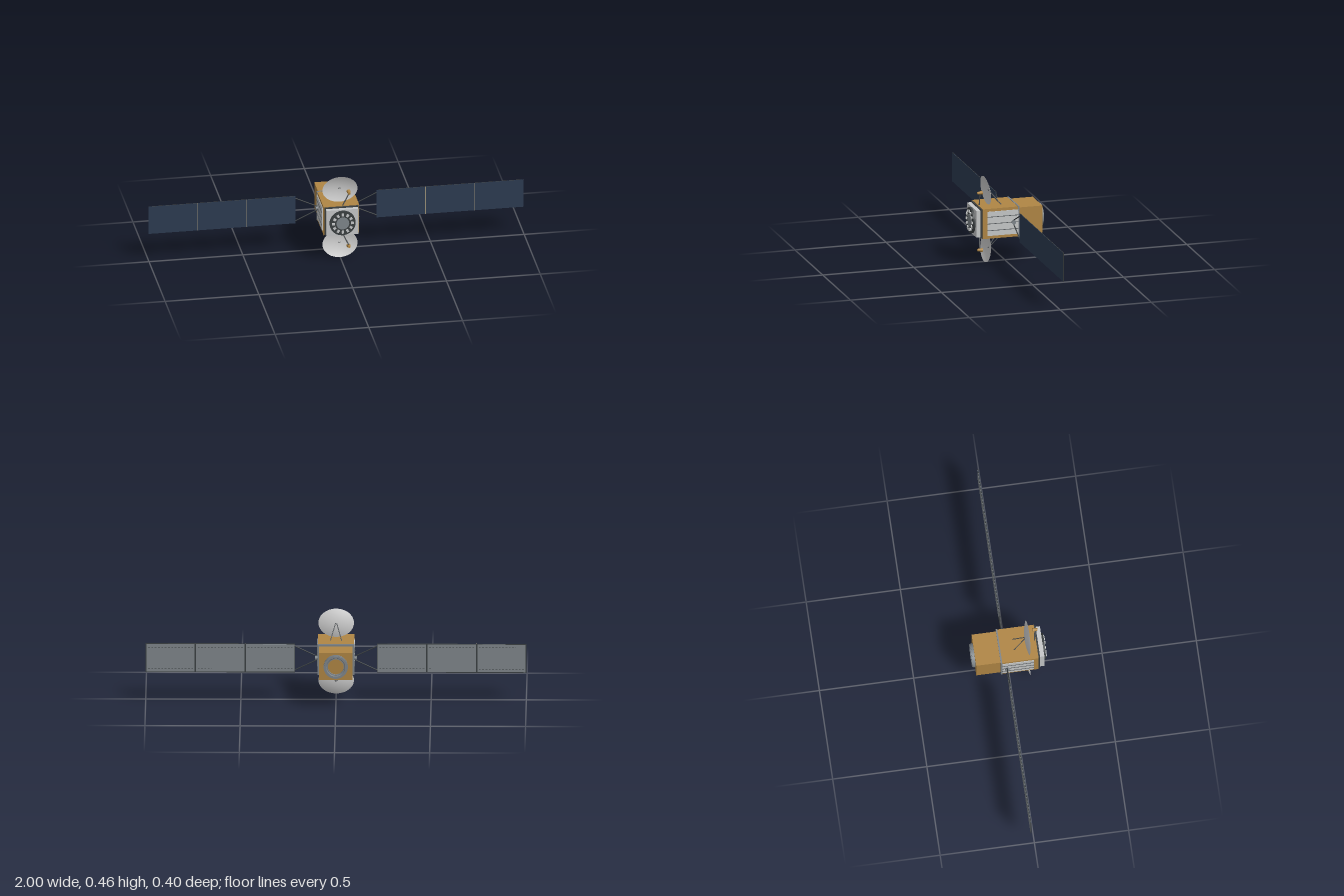
import * as THREE from 'three';

const CY = 0.236; // height of the body axis

function mat(name, color, side = THREE.FrontSide) {
  const m = new THREE.MeshStandardMaterial({ color, side });
  m.name = name;
  return m;
}

export function createModel() {
  const root = new THREE.Group();
  root.name = 'satellite';
  const gold = mat('gold foil', 0xb08644);
  const light = mat('light grey', 0xc6c8c9);
  const dishMat = mat('dish white', 0xd0d0d0, THREE.DoubleSide);
  const grey = mat('mid grey', 0x7f868b);
  const dark = mat('dark grey', 0x3b4042);
  const strutMat = mat('strut grey', 0x55595c);
  const blue = mat('solar blue', 0x2c3b52);
  const tan = mat('hinge tan', 0x9a9078);

  function add(name, geometry, material, x = 0, y = 0, z = 0, parent = root) {
    const m = new THREE.Mesh(geometry, material);
    m.name = name;
    m.position.set(x, y, z);
    parent.add(m);
    return m;
  }
  const box = (name, w, h, d, material, x, y, z, parent) =>
    add(name, new THREE.BoxGeometry(w, h, d), material, x, y, z, parent);
  // cylinder whose axis runs along z, r1 at the +z end
  const disc = (name, r1, r2, d, material, x, y, z, seg = 40) =>
    add(name, new THREE.CylinderGeometry(r1, r2, d, seg).rotateX(Math.PI / 2), material, x, y, z);
  function strut(name, a, b, r, material, parent = root) {
    const p = new THREE.Vector3(...a), q = new THREE.Vector3(...b);
    const dir = q.clone().sub(p);
    const m = add(name, new THREE.CylinderGeometry(r, r, dir.length(), 10), material, 0, 0, 0, parent);
    m.position.copy(p).add(q).multiplyScalar(0.5);
    m.quaternion.setFromUnitVectors(new THREE.Vector3(0, 1, 0), dir.normalize());
    return m;
  }

  // Body
  box('mainBody', 0.19, 0.163, 0.2, gold, 0, CY, 0.05);
  box('rearModule', 0.176, 0.147, 0.13, gold, 0, CY, -0.115);
  box('bodyFrame', 0.196, 0.167, 0.008, grey, 0, CY, -0.047);
  box('frontFrame', 0.18, 0.158, 0.01, dark, 0, CY, 0.154);
  box('frontPlate', 0.17, 0.146, 0.024, light, 0, CY, 0.17);

  // Rear adapter ring, stepped and open in the middle
  const ringProfile = [[0.042, 0], [0.064, 0], [0.064, 0.012], [0.061, 0.012], [0.061, 0.019],
    [0.05, 0.019], [0.047, 0.014], [0.042, 0.014], [0.042, 0]];
  const ringPoints = ringProfile.flatMap(([r, h]) => [new THREE.Vector2(r, h), new THREE.Vector2(r, h)]);
  add('rearRing', new THREE.LatheGeometry(ringPoints, 48).rotateX(-Math.PI / 2), grey, 0, CY, -0.178);

  // Front antenna array
  disc('antennaBase', 0.069, 0.069, 0.012, dark, 0, CY, 0.187);
  disc('antennaHub', 0.034, 0.034, 0.004, grey, 0, CY, 0.194);
  for (let i = 0; i < 12; i++) {
    const a = (i / 12) * Math.PI * 2;
    const e = box('antennaElement', 0.012, 0.015, 0.007, light,
      Math.cos(a) * 0.05, CY + Math.sin(a) * 0.05, 0.1955);
    e.rotation.z = a + Math.PI / 2;
  }

  // Side radiators with pipes
  for (const s of [-1, 1]) {
    box('radiator', 0.004, 0.132, 0.17, light, s * 0.096, CY, 0.04);
    for (const dy of [-0.037, 0, 0.037])
      box('radiatorPipe', 0.004, 0.003, 0.168, strutMat, s * 0.098, CY + dy, 0.04);
  }

  // Dishes with feeds above and below
  for (const s of [1, -1]) {
    const Y = d => CY + s * d;
    const profile = [];
    for (let i = 0; i <= 12; i++) {
      const r = i / 12;
      profile.push(new THREE.Vector2(r, 0.0155 * (r * r - 1)));
    }
    const dishGeo = new THREE.LatheGeometry(profile, 48).rotateX(Math.PI / 2).scale(0.0935, 0.0755, 1);
    const dish = add('dish', dishGeo, dishMat, 0, Y(0.157), 0.105);
    dish.rotation.x = s * 0.107;
    for (const x of [-0.03, 0.03])
      strut('dishStrut', [x, Y(0.08), 0.028], [x * 0.1, Y(0.159), 0.091], 0.0025, strutMat);
    strut('feedArm', [0.008, Y(0.08), 0.143], [0.04, Y(0.15), 0.149], 0.003, strutMat);
    const horn = disc('feedHorn', 0.0065, 0.0105, 0.027, gold, 0.04, Y(0.156), 0.149, 20);
    horn.rotation.x = s * 0.1;
  }

  // Solar wings
  const PZ = -0.018, X0 = 0.215, PW = 0.785 / 3, PH = 0.158;
  for (const s of [-1, 1]) {
    const wing = new THREE.Group();
    wing.name = s > 0 ? 'leftWing' : 'rightWing';
    root.add(wing);
    const hub = add('wingHub', new THREE.CylinderGeometry(0.011, 0.011, 0.016, 20), grey,
      s * 0.101, CY, PZ, wing);
    hub.rotation.z = Math.PI / 2;
    for (const t of [-1, 1])
      strut('yokeArm', [s * 0.1, CY + t * 0.01, PZ], [s * 0.218, CY + t * 0.066, PZ], 0.0028, dark, wing);
    strut('yokeTie', [s * 0.106, CY - 0.011, PZ], [s * 0.106, CY + 0.011, PZ], 0.0028, dark, wing);
    for (let i = 0; i < 3; i++) {
      const x = s * (X0 + PW * (i + 0.5));
      box('panelCore', PW, PH, 0.003, dark, x, CY, PZ, wing);
      box('panelCells', PW - 0.002, PH - 0.001, 0.001, blue, x, CY, PZ + 0.002, wing);
      box('panelBack', PW - 0.008, PH - 0.008, 0.001, grey, x, CY, PZ - 0.002, wing);
      // dashed seams on the back
      for (const t of [-1, 1])
        for (let k = 0; k < 14; k++)
          box('backSeam', 0.009, 0.002, 0.001, dark,
            x + (k - 6.5) * 0.0175, CY + t * 0.058, PZ - 0.0026, wing);
      if (i > 0)
        box('panelHinge', 0.003, PH, 0.001, tan, s * (X0 + PW * i), CY, PZ + 0.0024, wing);
    }
  }
  return root;
}
